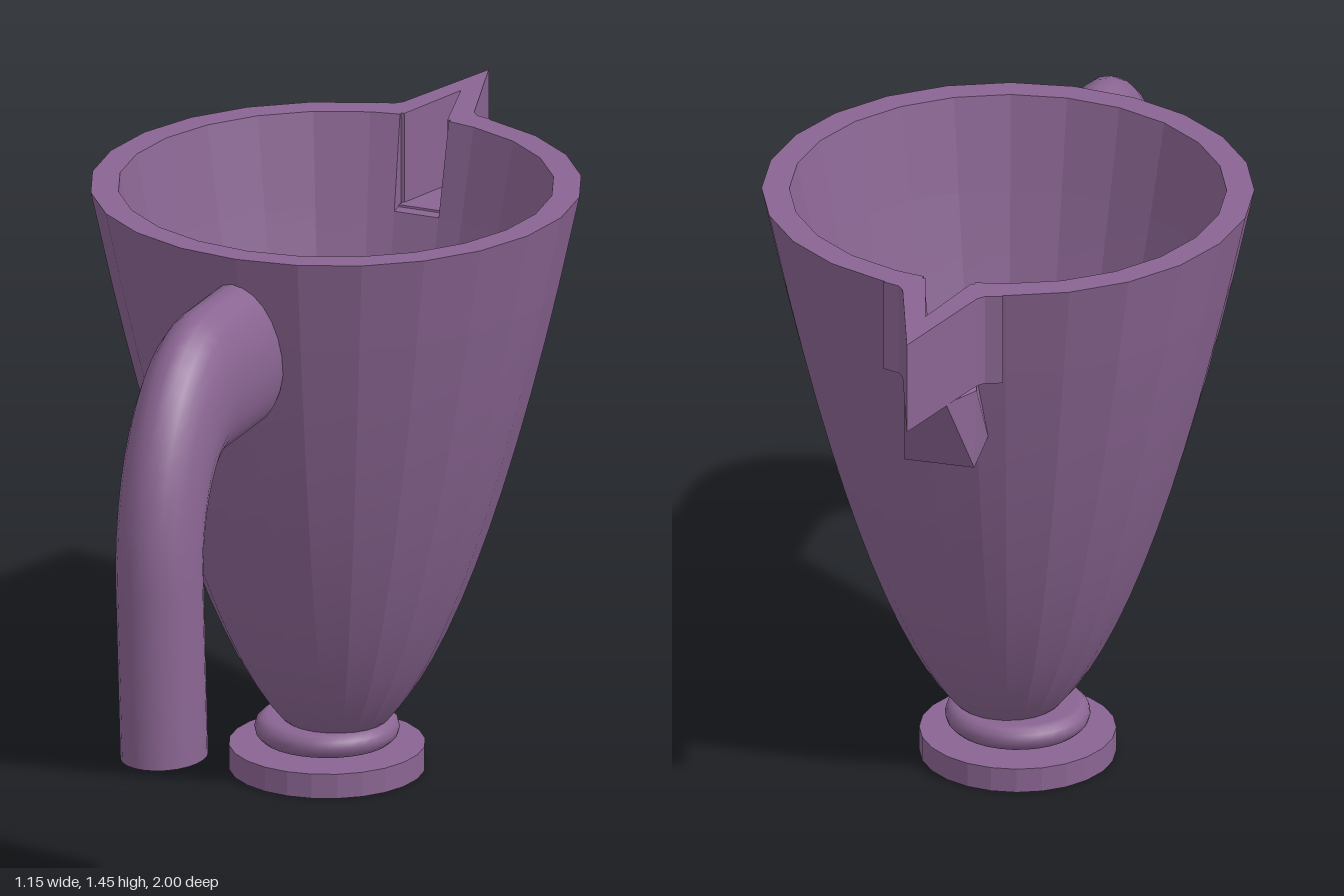
import * as THREE from 'three';
import { toCreasedNormals } from 'three/addons/utils/BufferGeometryUtils.js';
import { ConvexGeometry } from 'three/addons/geometries/ConvexGeometry.js';

const AXIS_Z = -0.125, RIM_Y = 1.445, NOTCH_Y = 1.22;
const DEG = Math.PI / 180;

// Skin a list of closed point loops; optionally join last to first, or cap the ends.
function skin(rings, closed, caps, crease) {
  const pos = [];
  const tri = (a, b, c) => {
    const area = b.clone().sub(a).cross(c.clone().sub(a)).length();
    if (area > 1e-9) pos.push(...a, ...b, ...c);
  };
  const n = rings[0].length;
  for (let i = 0; i < rings.length - (closed ? 0 : 1); i++) {
    const A = rings[i], B = rings[(i + 1) % rings.length];
    for (let j = 0; j < n; j++) {
      const k = (j + 1) % n;
      tri(A[j], A[k], B[j]);
      tri(A[k], B[k], B[j]);
    }
  }
  if (caps) {
    const A = rings[0], B = rings[rings.length - 1];
    for (let j = 1; j < n - 1; j++) {
      tri(A[0], A[j + 1], A[j]);
      tri(B[0], B[j], B[j + 1]);
    }
  }
  const g = new THREE.BufferGeometry();
  g.setAttribute('position', new THREE.Float32BufferAttribute(pos, 3));
  return toCreasedNormals(g, crease);
}

// Paraboloid radii of the bowl, outside and inside
const outerR = y => 0.575 * Math.sqrt(Math.max(0, (y - 0.065) / 1.38));
const innerR = y => 0.51 * Math.sqrt(Math.max(0, (y - 0.13) / 1.315));

// Rotate an [r, y] profile to an angle measured from the back
const spin = (profile, deg) => profile.map(([r, y]) => new THREE.Vector3(
  r * Math.sin(deg * DEG), y, AXIS_Z - r * Math.cos(deg * DEG)));

export function createModel() {
  const model = new THREE.Group();
  const material = new THREE.MeshStandardMaterial({ color: 0x8a6592 });
  const add = (name, geometry, x = 0, y = 0, z = 0) => {
    const mesh = new THREE.Mesh(geometry, material);
    mesh.name = name;
    mesh.position.set(x, y, z);
    model.add(mesh);
    return mesh;
  };

  // Bowl: 24 facets, the rear corner split in two to leave room for the pouring notch
  const angles = [7];
  for (let a = 15; a <= 345; a += 15) angles.push(a);
  angles.push(353);
  const outer = [], inner = [], steps = 16;
  for (let i = 0; i <= steps; i++) {
    const t = (i / steps) ** 2;
    const yo = 0.065 + t * (NOTCH_Y - 0.065), yi = 0.13 + t * (NOTCH_Y - 0.13);
    outer.push([outerR(yo), yo]);
    inner.unshift([innerR(yi), yi]);
  }
  const lower = [...outer, ...inner];
  add('bowl', skin(angles.map(a => spin(lower, a)), true, false, 0.17));
  const upper = [
    [outerR(NOTCH_Y), NOTCH_Y], [outerR(RIM_Y), RIM_Y],
    [innerR(RIM_Y), RIM_Y], [innerR(NOTCH_Y), NOTCH_Y],
  ];
  add('rim', skin(angles.map(a => spin(upper, a)), false, true, 0.17));

  // Spout: V-shaped walls behind the notch (shape y becomes -z)
  const vee = [[0, 1], [-0.09, 0.715], [-0.105, 0.697], [-0.145, 0.685], [-0.12, 0.64], [-0.055, 0.64],
    [0, 0.84], [0.055, 0.64], [0.12, 0.64], [0.145, 0.685], [0.105, 0.697], [0.09, 0.715]];
  const spout = new THREE.ExtrudeGeometry(
    new THREE.Shape(vee.map(p => new THREE.Vector2(...p))),
    { depth: RIM_Y - NOTCH_Y, bevelEnabled: false });
  spout.rotateX(-Math.PI / 2);
  add('spout', spout, 0, NOTCH_Y, 0);

  // Sloping block that carries the spout and closes its floor
  const blockPoints = [];
  for (const s of [-1, 1]) {
    for (const [x, y, z] of [[0.05, 1.225, -0.84], [0.06, 1.225, -0.62],
      [0.085, 1.01, -0.72], [0.085, 1.035, -0.6], [0.085, 1.2, -0.7]]) {
      blockPoints.push(new THREE.Vector3(s * x, y, z));
    }
  }
  add('spoutSupport', new ConvexGeometry(blockPoints));

  // Handle: hollow tube between an upper and a lower curve, tapering through the bend
  const path = [[[0.37, 1.375], [0.37, 1.01]]];
  for (let i = 0; i <= 12; i++) {
    const c = Math.cos(i / 12 * Math.PI / 2), s = Math.sin(i / 12 * Math.PI / 2);
    path.push([[0.61 + 0.39 * s, 0.78 + 0.595 * c], [0.6 + 0.17 * s, 0.78 + 0.23 * c]]);
  }
  path.push([[1, 0.36], [0.77, 0.36]]);
  const tubePoint = ([[oz, oy], [iz, iy]], a, scale) => {
    const c = Math.cos(a) * scale / 2;
    return new THREE.Vector3(0.1 * scale * Math.sin(a),
      (oy + iy) / 2 + (oy - iy) * c, (oz + iz) / 2 + (oz - iz) * c);
  };
  const rings = [];
  for (let i = 0; i < 24; i++) {
    const a = i / 24 * Math.PI * 2;
    rings.push([...path.map(p => tubePoint(p, a, 1)),
      ...[...path].reverse().map(p => tubePoint(p, a, 0.62))]);
  }
  const handle = skin(rings, true, false, 0.7);
  handle.translate(0, -0.78, 0).rotateZ(0.028);
  add('handle', handle, 0, 0.78, 0);

  // Foot: a rounded collar over a flat disc, both slightly off the bowl's axis
  const collar = new THREE.TorusGeometry(0.14, 0.03, 12, 32);
  collar.rotateX(Math.PI / 2);
  add('collar', collar, -0.025, 0.1, -0.13);
  add('collarCore', new THREE.CylinderGeometry(0.14, 0.14, 0.059, 32), -0.025, 0.1, -0.13);
  add('baseDisc', toCreasedNormals(
    new THREE.CylinderGeometry(0.23, 0.23, 0.06, 24), 0.2), -0.025, 0.03, -0.13);

  return model;
}
